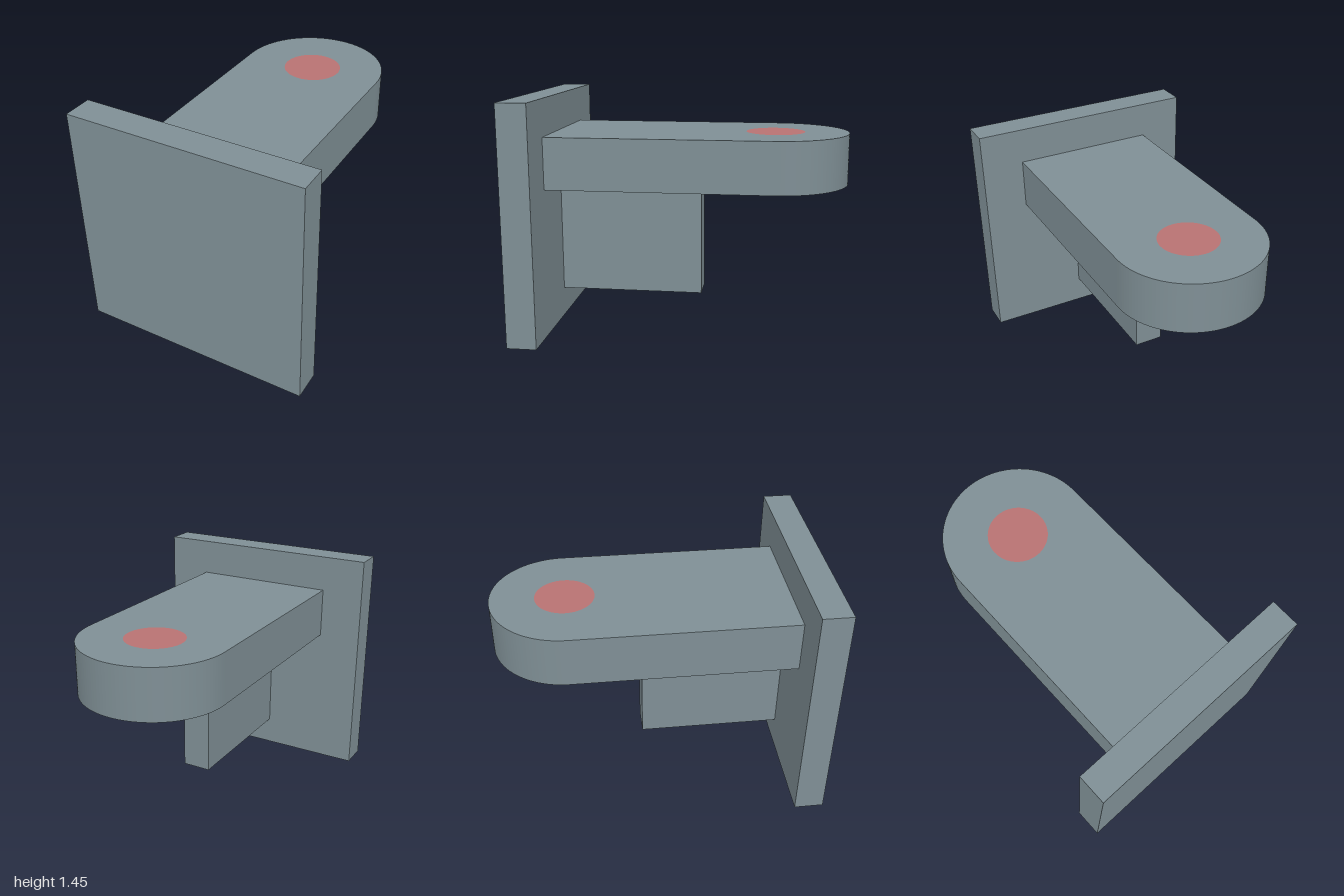
import * as THREE from 'three';

const U = 1 / 11; // design unit: the plate is 16 x 16 x 2 units

export function createModel() {
  const steel = new THREE.MeshStandardMaterial({ color: 0x7f8f95 });
  steel.name = 'greySteel';
  const red = new THREE.MeshStandardMaterial({ color: 0xb87272 });
  red.name = 'dullRed';

  const model = new THREE.Group();
  model.name = 'wallBracket';

  const add = (name, geometry, material, x, y, z) => {
    const mesh = new THREE.Mesh(geometry, material);
    mesh.name = name;
    mesh.position.set(x * U, y * U, z * U);
    model.add(mesh);
  };
  const box = (w, h, d) => new THREE.BoxGeometry(w * U, h * U, d * U);
  // Outline drawn in plan (shape y = -z), raised upwards
  const slab = (shape, height) => {
    const g = new THREE.ExtrudeGeometry(shape, { depth: height, bevelEnabled: false, curveSegments: 32 });
    return g.rotateX(-Math.PI / 2).scale(U, U, U);
  };

  // Square mounting plate and the narrow web under the arm
  add('mountingPlate', box(16, 16, 2), steel, 0, 8, 10);
  add('supportWeb', box(2, 8, 10), steel, 0, 6, 4);

  // Arm with a rounded end and a hole at the centre of the rounding
  const outline = new THREE.Shape();
  outline.moveTo(-5, -9);
  outline.lineTo(5, -9);
  outline.lineTo(5, 6);
  outline.absarc(0, 6, 5, 0, Math.PI, false);
  outline.closePath();
  const circle = new THREE.Shape().absarc(0, 6, 2, 0, Math.PI * 2, false);
  outline.holes.push(circle);
  add('arm', slab(outline, 3.5), steel, 0, 10, 0);

  // Red pin filling the hole, flush on both sides
  add('pin', slab(circle, 3.5), red, 0, 10, 0);

  return model;
}
